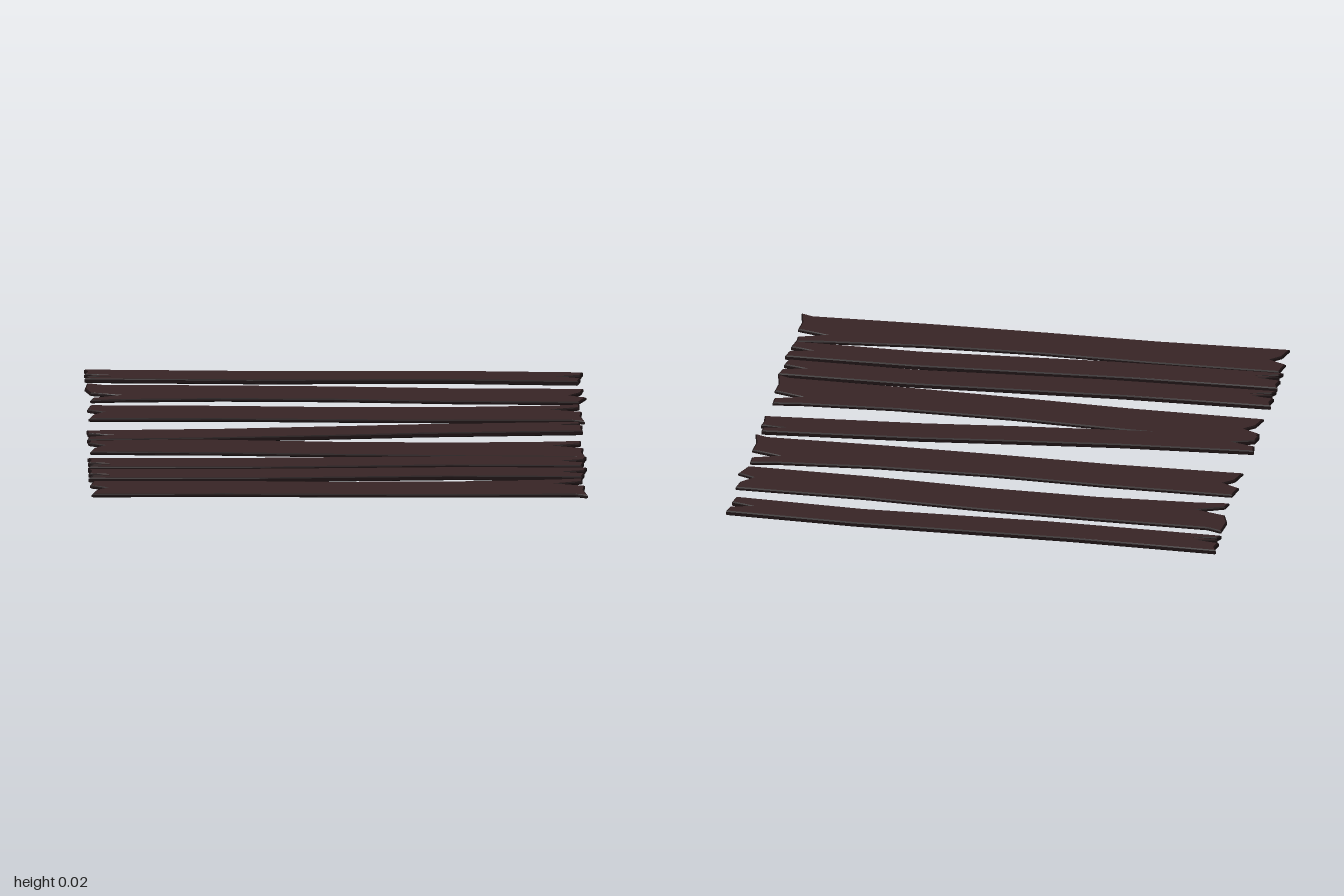
import * as THREE from 'three';

// Plank outlines as [x, z], running along the back edge, right end, front edge, left end
const splitPlank = [
  [-.99, -.995], [-.4, -.97], [.47, -.96], [.99, -.93],
  [.98, -.88], [.89, -.865], [.98, -.84], [.97, -.785],
  [.46, -.82], [-.29, -.82], [-.99, -.85],
  [-.975, -.875], [-.88, -.885], [-.98, -.89], [-.9, -.907], [-.99, -.92], [-.98, -.96],
];
const forkedPlank = [
  [-.98, -.8], [-.92, -.775], [-.45, -.76], [0, -.74], [.47, -.705], [.99, -.69],
  [.98, -.63], [.935, -.585], [1, -.555], [.97, -.48],
  [.47, -.5], [0, -.535], [-.45, -.55], [-.85, -.54], [-.97, -.53],
  [-.96, -.57], [-.85, -.61], [-.97, -.645], [-.99, -.71],
];
const widePlank = [
  [-.97, -.455], [-.45, -.44], [0, -.415], [.47, -.41], [.86, -.43], [.97, -.445],
  [.97, -.395], [.86, -.365], [.98, -.33], [.975, -.26], [.99, -.175], [.94, -.195],
  [.47, -.2], [0, -.215], [-.45, -.235], [-.98, -.24],
  [-.96, -.31], [-.92, -.345], [-.985, -.38],
];
const slantedPlank = [
  [-.99, -.04], [-.45, -.06], [0, -.095], [.35, -.125], [.97, -.155],
  [.97, -.12], [.88, -.107], [.98, -.1], [.975, -.06], [.98, -.01],
  [.35, .02], [0, .05], [-.5, .085], [-.99, .107],
  [-.98, .06], [-.89, .035], [-.985, .01],
];

// Outline, height, shift in z and slope (z per x) of every plank, back to front
const planks = [
  ['backPlank', splitPlank, .02, 0, 0],
  ['forkedPlank', forkedPlank, .015, 0, 0],
  ['wideBackPlank', widePlank, .015, 0, 0],
  ['slantedPlank', slantedPlank, .02, 0, 0],
  ['wideMiddlePlank', widePlank, .015, .545, .025],
  ['narrowPlank1', splitPlank, .02, 1.355, -.035],
  ['narrowPlank2', splitPlank, .02, 1.527, -.035],
  ['wideFrontPlank', widePlank, .015, 1.173, -.0135],
];

export function createModel() {
  const group = new THREE.Group();
  group.name = 'plankFloor';
  const wood = new THREE.MeshStandardMaterial({ color: 0x382425 });
  wood.name = 'darkWood';
  const edge = new THREE.MeshStandardMaterial({ color: 0x1c1213 });
  edge.name = 'darkEdge';

  const bevel = .004;
  for (const [name, outline, height, shift, slope] of planks) {
    const shape = new THREE.Shape(
      outline.map(([x, z]) => new THREE.Vector2(x, -(z + shift + slope * x))));
    // Thin board with a worn, bevelled rim
    const geometry = new THREE.ExtrudeGeometry(shape, {
      depth: height - 2 * bevel, bevelEnabled: true, bevelSegments: 1,
      bevelThickness: bevel, bevelSize: .006, bevelOffset: -.006,
    });
    geometry.rotateX(-Math.PI / 2).translate(0, bevel, 0);
    const plank = new THREE.Mesh(geometry, [wood, edge]);
    plank.name = name;
    group.add(plank);
  }
  return group;
}
